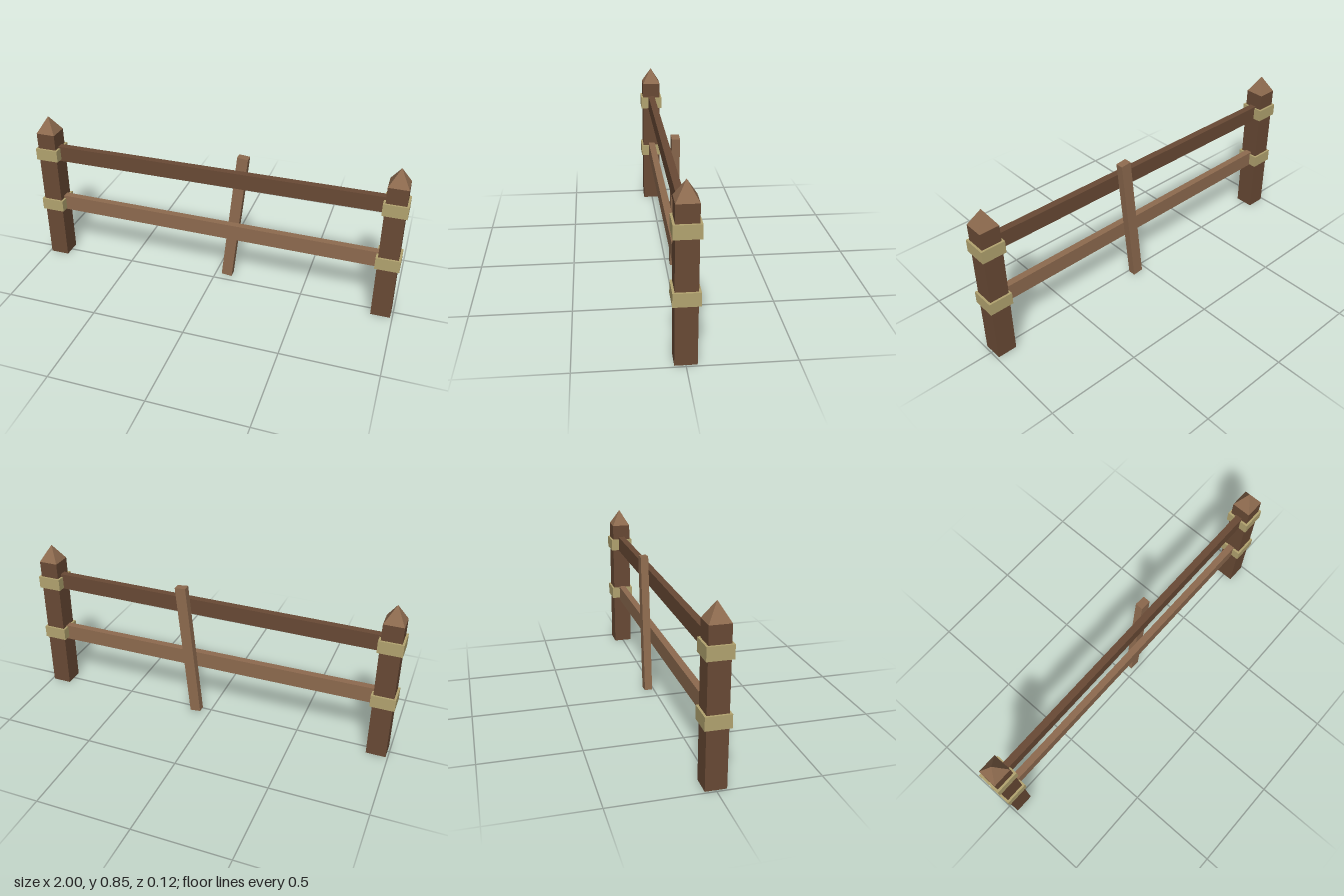
import * as THREE from 'three';

export function createModel() {
  const model = new THREE.Group();
  const material = (name, color) => {
    const m = new THREE.MeshStandardMaterial({ color, flatShading: true, side: THREE.DoubleSide });
    m.name = name;
    return m;
  };
  const darkWood = material('dark wood', 0x694a35);
  const lightWood = material('light wood', 0x8e6b4f);
  const rope = material('rope', 0xb3a470);

  const add = (name, geometry, mat, x, y, z = 0, tilt = 0, parent = model) => {
    const mesh = new THREE.Mesh(geometry, mat);
    mesh.name = name;
    mesh.position.set(x, y, z);
    mesh.rotation.z = tilt;
    parent.add(mesh);
    return mesh;
  };

  // Four-sided post shaft (open underneath) and its pointed cap
  const postWidth = 0.103, postHeight = 0.765, capHeight = 0.088;
  const radius = postWidth / Math.SQRT2;
  const shaft = new THREE.CylinderGeometry(radius, radius, postHeight, 4, 1, true).rotateY(Math.PI / 4);
  const cap = new THREE.ConeGeometry(radius, capHeight, 4, 1, true).rotateY(Math.PI / 4);
  const binding = new THREE.BoxGeometry(0.125, 0.066, 0.125);

  for (const [side, x] of [['left', 0.9375], ['right', -0.9375]]) {
    const post = new THREE.Group();
    post.name = side + 'Post';
    post.position.x = x;
    model.add(post);
    add('postShaft', shaft, darkWood, 0, postHeight / 2, 0, 0, post);
    add('postCap', cap, lightWood, 0, postHeight + capHeight / 2, 0, 0, post);
    add('lowerBinding', binding, rope, 0, 0.331, 0, 0, post);
    add('upperBinding', binding, rope, 0, 0.645, 0, 0, post);
  }

  // Slightly crooked rails, ending inside the posts
  const rail = new THREE.BoxGeometry(1.86, 0.086, 0.037);
  add('upperRail', rail, darkWood, 0, 0.647, 0, 0.004);
  add('lowerRail', rail, lightWood, 0, 0.331, 0, -0.005);

  // Leaning slat behind the rails
  add('leaningSlat', new THREE.BoxGeometry(0.058, 0.748, 0.041), lightWood, 0.11, 0.39, -0.04, -0.104);

  return model;
}
